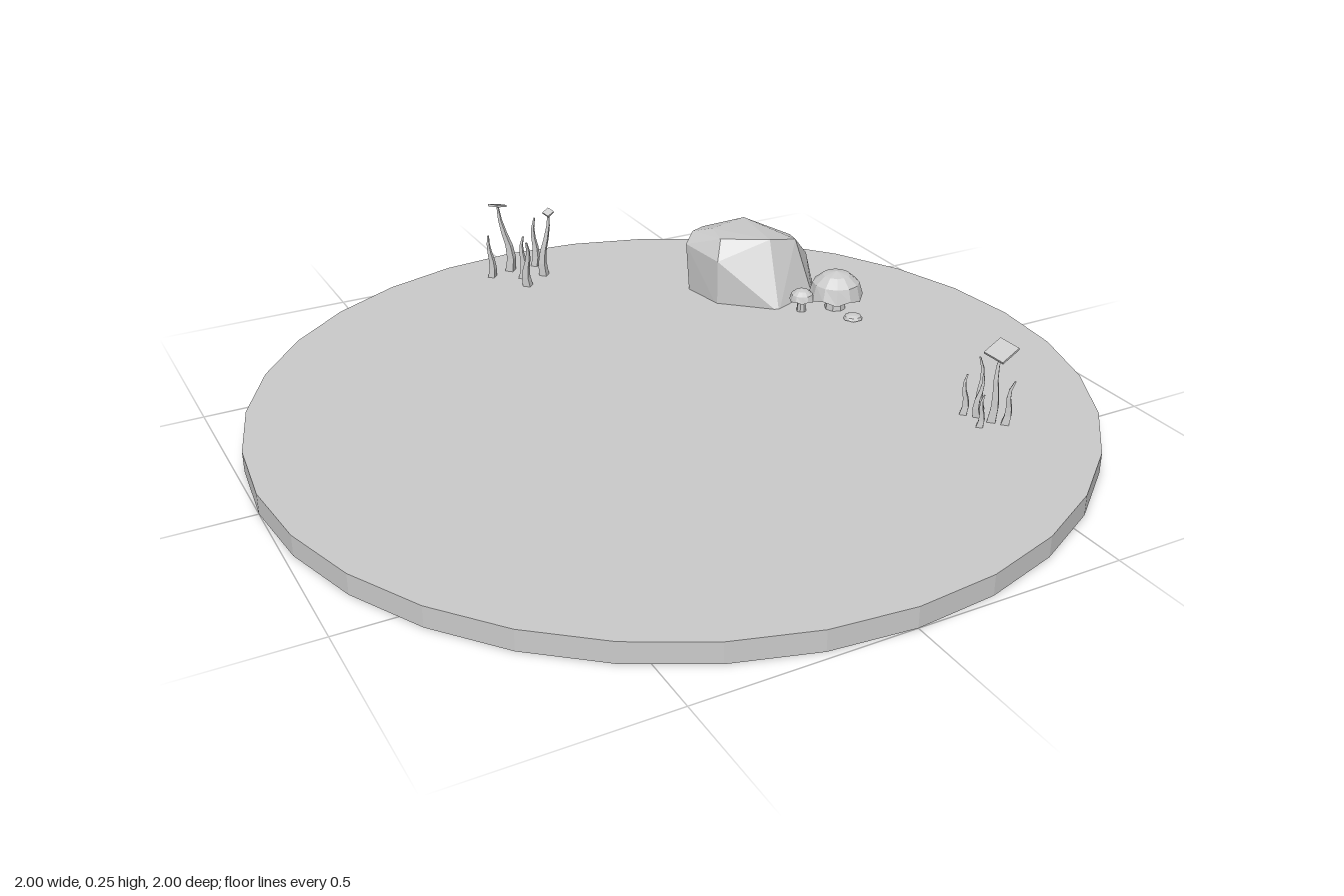
import * as THREE from 'three';
import { ConvexGeometry } from 'three/addons/geometries/ConvexGeometry.js';

const GROUND = 0.05;
const material = new THREE.MeshStandardMaterial({ color: 0xcccccc, flatShading: true, side: THREE.DoubleSide });

function add(parent, geometry, name, x = 0, y = 0, z = 0) {
  const mesh = new THREE.Mesh(geometry, material);
  mesh.name = name;
  mesh.position.set(x, y, z);
  parent.add(mesh);
  return mesh;
}

// Tapered four-sided blade that leans from its base to its tip with a slight wave
function addBlade(parent, [x, z, tipX, tipY, tipZ, radius, wave]) {
  const h = tipY - GROUND;
  const g = new THREE.CylinderGeometry(0.2, 1, h, 4, 5);
  g.translate(0, h / 2, 0);
  const p = g.attributes.position;
  for (let i = 0; i < p.count; i++) {
    const t = p.getY(i) / h;
    const bend = wave * Math.sin(t * Math.PI * 2);
    p.setX(i, p.getX(i) * radius + (tipX - x) * t * t + bend);
    p.setZ(i, p.getZ(i) * radius + (tipZ - z) * t * t + bend * 0.5);
  }
  add(parent, g, 'blade', x, GROUND, z);
}

// Small tilted square leaf on the tip of a tall blade
function addLeaf(parent, x, y, z, size, rx, ry, rz) {
  add(parent, new THREE.BoxGeometry(size, 0.006, size), 'leaf', x, y, z).rotation.set(rx, ry, rz);
}

// Faceted dome cap with a zigzag rim, hollow underside and a stem
function addMushroom(parent, x, z, radius, top, rim, name) {
  const group = new THREE.Group();
  group.name = name;
  group.position.set(x, 0, z);
  const sides = 12;
  const profile = [[0, top], [0.5, top - (top - rim) * 0.13], [0.86, top - (top - rim) * 0.48],
    [1, rim], [0.6, rim + (top - rim) * 0.2], [0, rim + (top - rim) * 0.25]];
  const g = new THREE.LatheGeometry(profile.map(([r, y]) => new THREE.Vector2(r * radius, y)).reverse(), sides);
  const p = g.attributes.position;
  for (let i = 0; i < p.count; i++) {
    const side = Math.floor(i / profile.length);
    if (i % profile.length === 2 && side % 2) p.setY(i, rim - (top - rim) * 0.16);
  }
  add(group, g, 'cap');
  const stemTop = rim + (top - rim) * 0.3;
  const h = stemTop - GROUND + 0.005;
  add(group, new THREE.CylinderGeometry(radius * 0.3, radius * 0.4, h, 8), 'stem', 0, stemTop - h / 2, 0);
  parent.add(group);
}

export function createModel() {
  const model = new THREE.Group();
  model.name = 'rockyGround';

  // Round ground slab
  add(model, new THREE.CylinderGeometry(1, 1, GROUND, 32), 'ground', 0, GROUND / 2, 0);

  // Angular boulder
  const rock = [
    [0.335, 0.04, -0.53], [0.39, 0.04, -0.57], [0.55, 0.04, -0.6], [0.66, 0.04, -0.5],
    [0.67, 0.04, -0.43], [0.62, 0.04, -0.35], [0.48, 0.04, -0.295], [0.355, 0.04, -0.41],
    [0.33, 0.18, -0.54], [0.36, 0.205, -0.56], [0.41, 0.2, -0.59], [0.55, 0.17, -0.605],
    [0.53, 0.21, -0.575], [0.63, 0.17, -0.49], [0.665, 0.12, -0.46], [0.59, 0.195, -0.4],
    [0.5, 0.215, -0.385], [0.38, 0.22, -0.44], [0.4, 0.22, -0.52], [0.355, 0.17, -0.41],
  ];
  add(model, new ConvexGeometry(rock.map((v) => new THREE.Vector3(...v))), 'boulder');

  // Mushrooms beside the boulder
  addMushroom(model, 0.62, -0.24, 0.072, 0.155, 0.092, 'largeMushroom');
  addMushroom(model, 0.53, -0.265, 0.033, 0.112, 0.085, 'mediumMushroom');
  addMushroom(model, 0.617, -0.15, 0.025, 0.068, 0.056, 'smallMushroom');

  // Plant tufts: base x, base z, tip x, tip y, tip z, radius, wave
  const tufts = {
    frontTuft: [
      [0.585, 0.47, 0.6, 0.225, 0.47, 0.014, 0.004],
      [0.55, 0.41, 0.555, 0.15, 0.408, 0.012, 0.004],
      [0.595, 0.415, 0.59, 0.185, 0.405, 0.013, -0.004],
      [0.545, 0.478, 0.55, 0.13, 0.48, 0.011, 0.003],
      [0.57, 0.435, 0.575, 0.16, 0.44, 0.012, -0.004],
      [0.605, 0.495, 0.615, 0.16, 0.505, 0.013, 0.004],
    ],
    backTuft: [
      [-0.045, -0.885, -0.065, 0.235, -0.91, 0.016, 0.005],
      [-0.108, -0.865, -0.112, 0.17, -0.872, 0.013, 0.003],
      [0.025, -0.81, 0.042, 0.23, -0.805, 0.015, -0.004],
      [0.03, -0.885, 0.035, 0.19, -0.89, 0.013, 0.004],
      [-0.035, -0.818, -0.03, 0.17, -0.82, 0.014, 0.004],
      [-0.045, -0.762, -0.05, 0.18, -0.75, 0.015, -0.004],
    ],
  };
  for (const [name, blades] of Object.entries(tufts)) {
    const tuft = new THREE.Group();
    tuft.name = name;
    blades.forEach((b) => addBlade(tuft, b));
    model.add(tuft);
  }
  addLeaf(model.getObjectByName('frontTuft'), 0.597, 0.226, 0.468, 0.056, 0.12, 0.2, 0.38);
  addLeaf(model.getObjectByName('backTuft'), -0.064, 0.236, -0.915, 0.036, -0.15, 0.4, -0.2);
  addLeaf(model.getObjectByName('backTuft'), 0.042, 0.233, -0.806, 0.022, 0.3, 0.4, 0.35);

  return model;
}
